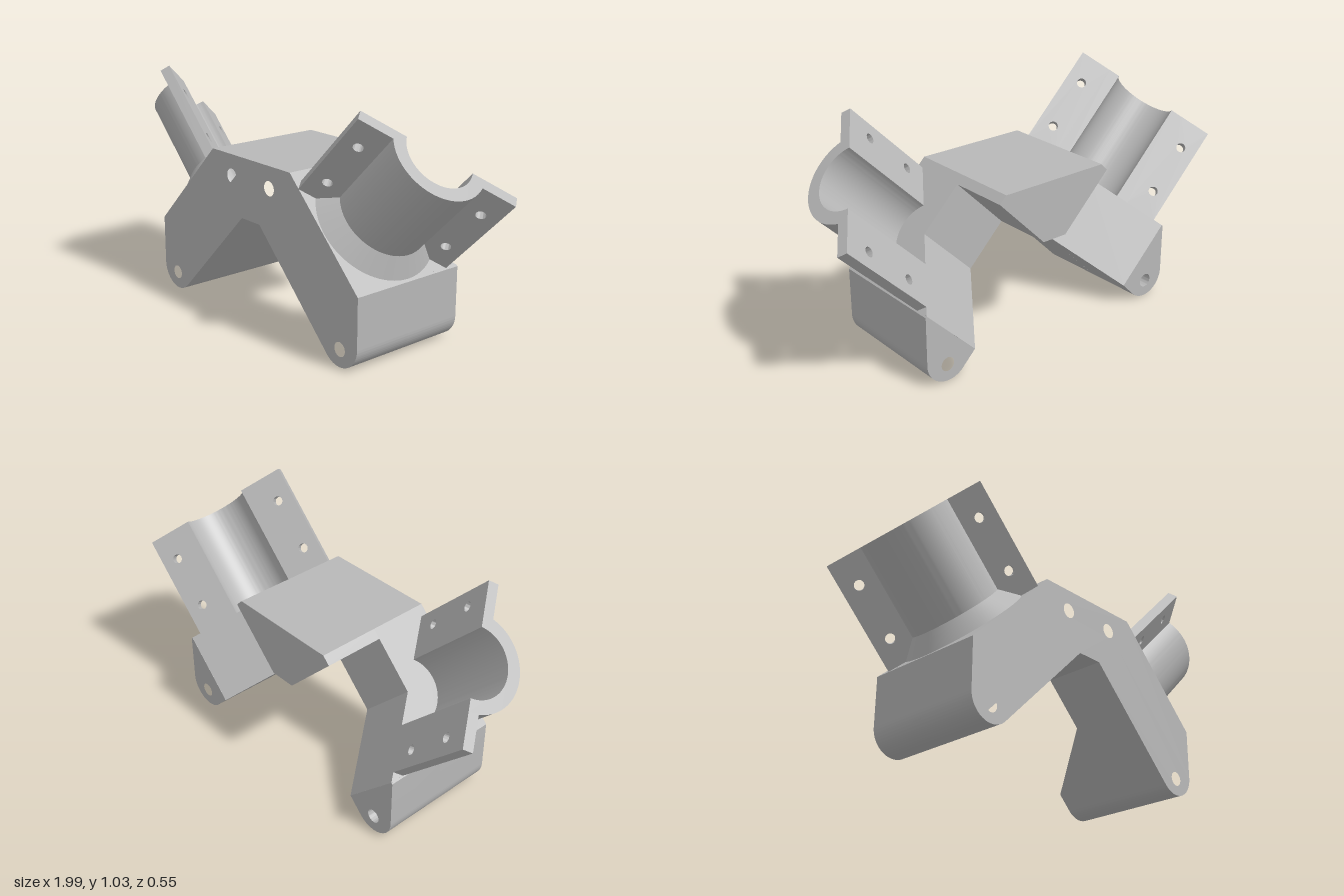
import * as THREE from 'three';
import { toCreasedNormals } from 'three/addons/utils/BufferGeometryUtils.js';

const H = Math.SQRT1_2;
const HALF = 0.275;      // half depth of the frame
const LEG = 0.329;       // leg thickness
const BASE = [0.465, 0.52]; // socket centre on the sloped face

function poly(points) {
  return new THREE.Shape(points.map(([x, y]) => new THREE.Vector2(x, y)));
}

function addHole(shape, x, y, r) {
  const path = new THREE.Path();
  path.absarc(x, y, r, 0, Math.PI * 2, true);
  shape.holes.push(path);
}

function extrude(shape, depth) {
  const g = new THREE.ExtrudeGeometry(shape, { depth, bevelEnabled: false, curveSegments: 32 });
  return toCreasedNormals(g, 0.5);
}

export function createModel() {
  const model = new THREE.Group();
  model.name = 'angledDoubleClampBracket';
  const grey = new THREE.MeshStandardMaterial({ color: 0xb8b8b8 });
  grey.name = 'plainGrey';

  const add = (parent, name, geometry) => {
    const mesh = new THREE.Mesh(geometry, grey);
    mesh.name = name;
    parent.add(mesh);
    return mesh;
  };

  // Front half of the frame: full arch outline with rounded feet
  const r = 0.103, cx = 0.562, cy = 0.103;
  const arch = new THREE.Shape();
  arch.moveTo(-0.06, 0.46);
  arch.lineTo(-cx + r * H, cy - r * H);
  arch.absarc(-cx, cy, r, -Math.PI / 4, -Math.PI, true);
  arch.lineTo(-0.665, 0.32);
  arch.lineTo(-0.26, 0.725);
  arch.lineTo(0.26, 0.725);
  arch.lineTo(0.665, 0.32);
  arch.lineTo(0.665, cy);
  arch.absarc(cx, cy, r, 0, -Math.PI * 3 / 4, true);
  arch.lineTo(0.06, 0.46);
  for (const s of [-1, 1]) {
    addHole(arch, s * 0.127, 0.63, 0.032);
    addHole(arch, s * 0.565, 0.075, 0.031);
  }
  add(model, 'frontFrame', extrude(arch, HALF));

  // Rear centre block, undercut on both sides
  const block = poly([[-0.06, 0.46], [0.06, 0.46], [0.2925, 0.6925], [0.26, 0.725],
    [-0.26, 0.725], [-0.2925, 0.6925]]);
  for (const s of [-1, 1]) addHole(block, s * 0.127, 0.63, 0.032);
  add(model, 'rearCentreBlock', extrude(block, HALF)).position.z = -HALF;

  for (const s of [1, -1]) {
    const side = s > 0 ? 'left' : 'right';
    const along = new THREE.Vector3(s * H, -H, 0);   // down the leg
    const out = new THREE.Vector3(s * H, H, 0);      // socket axis
    const origin = new THREE.Vector3(s * BASE[0], BASE[1], 0);

    // Rear foot, full depth
    const foot = new THREE.Shape();
    foot.moveTo(s * 0.6595, 0.3255);
    foot.lineTo(s * 0.665, 0.32);
    foot.lineTo(s * 0.665, cy);
    if (s > 0) foot.absarc(cx, cy, r, 0, -Math.PI * 3 / 4, true);
    else foot.absarc(-cx, cy, r, -Math.PI, -Math.PI / 4, false);
    foot.lineTo(s * 0.427, 0.093);
    addHole(foot, s * 0.565, 0.075, 0.031);
    add(model, side + 'RearFoot', extrude(foot, HALF)).position.z = -HALF;

    // Wedge where the leg thins out behind the socket
    const wedge = add(model, side + 'LegWedge',
      extrude(poly([[0, 0], [HALF, 0], [HALF, HALF]]), LEG));
    const start = s > 0 ? origin.clone().addScaledVector(out, -LEG) : origin;
    wedge.applyMatrix4(new THREE.Matrix4()
      .makeBasis(along, new THREE.Vector3(0, 0, -1), out.clone().multiplyScalar(s))
      .setPosition(start));

    // Half-round clamp: local x = bulge direction, y = across, z = socket axis
    const clamp = new THREE.Group();
    clamp.name = side + 'Clamp';
    const bulge = along.clone().multiplyScalar(H).add(new THREE.Vector3(0, 0, H));
    const across = out.clone().cross(bulge);
    clamp.applyMatrix4(new THREE.Matrix4().makeBasis(bulge, across, out).setPosition(origin));
    model.add(clamp);

    const length = 0.477;
    const ring = new THREE.Shape();
    ring.absarc(0, 0, 0.2, -Math.PI / 2, Math.PI / 2, false);
    ring.absarc(0, 0, 0.145, Math.PI / 2, -Math.PI / 2, true);
    add(clamp, 'halfShell', extrude(ring, length));

    // Chamfer collar at the root of the shell
    const collar = new THREE.CylinderGeometry(0.2, 0.27, 0.07, 48, 1, true, 0, Math.PI);
    collar.rotateX(Math.PI / 2).translate(0, 0, 0.035);
    add(clamp, 'rootCollar', collar);

    // Bolting flanges, drilled through their thickness
    for (const f of [-1, 1]) {
      const lo = f > 0 ? 0.195 : -0.345, hi = lo + 0.15;
      const plate = poly([[lo, 0], [hi, 0], [hi, length], [lo, length]]);
      for (const n of [0.11, 0.352]) addHole(plate, f * 0.273, n, 0.021);
      const g = extrude(plate, 0.045);
      // shape x -> y, shape y -> z, depth -> x
      g.applyMatrix4(new THREE.Matrix4().makeBasis(
        new THREE.Vector3(0, 1, 0), new THREE.Vector3(0, 0, 1), new THREE.Vector3(1, 0, 0)));
      add(clamp, f > 0 ? 'flangeA' : 'flangeB', g);
    }
  }
  return model;
}
